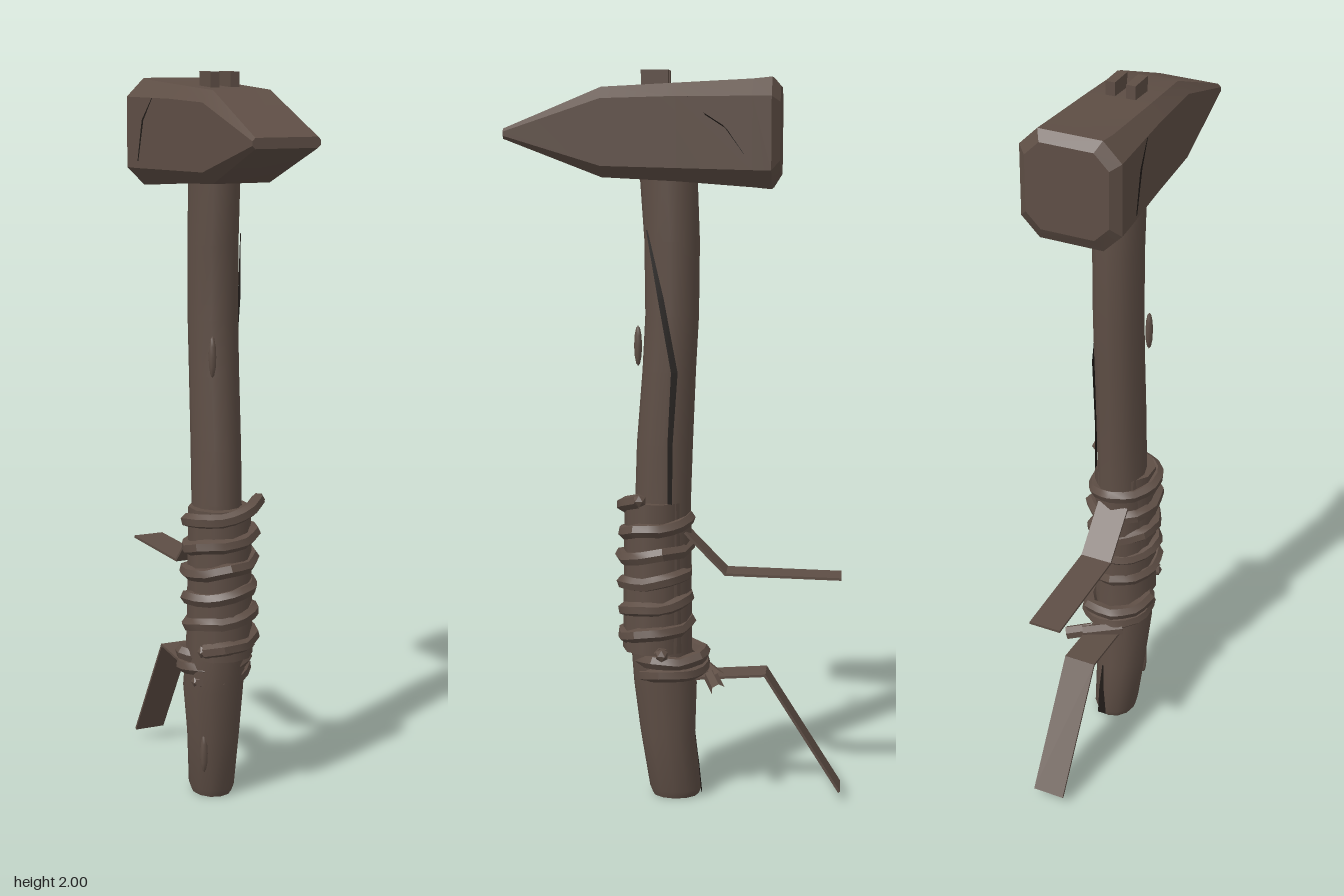
import * as THREE from 'three';
import { toCreasedNormals } from 'three/addons/utils/BufferGeometryUtils.js';

const V = (x, y, z) => new THREE.Vector3(x, y, z);

// Skin equal-length rings of points, counter-clockwise seen from the far end; both ends capped.
function loft(rings, crease) {
  const n = rings[0].length, pos = [], idx = [];
  const mid = r => r.reduce((a, p) => a.add(p), V(0, 0, 0)).divideScalar(n);
  rings.forEach(r => r.forEach(p => pos.push(p.x, p.y, p.z)));
  for (let i = 0; i < rings.length - 1; i++) for (let j = 0; j < n; j++) {
    const a = i * n + j, b = i * n + (j + 1) % n;
    idx.push(a, b, b + n, a, b + n, a + n);
  }
  const last = (rings.length - 1) * n, c0 = rings.length * n;
  for (const r of [rings[0], rings[rings.length - 1]]) pos.push(...mid(r).toArray());
  for (let j = 0; j < n; j++) {
    const k = (j + 1) % n;
    idx.push(c0, k, j, c0 + 1, last + j, last + k);
  }
  const g = new THREE.BufferGeometry();
  g.setAttribute('position', new THREE.Float32BufferAttribute(pos, 3));
  g.setIndex(idx);
  return toCreasedNormals(g, crease);
}

export function createModel() {
  const root = new THREE.Group();
  root.name = 'hammer';
  const brown = new THREE.MeshStandardMaterial({ color: 0x5e4e45 });
  brown.name = 'weathered brown';
  const dark = new THREE.MeshStandardMaterial({ color: 0x1f1a17, side: THREE.DoubleSide });
  dark.name = 'crack black';
  const add = (name, geo, mat = brown) => {
    const m = new THREE.Mesh(geo, mat);
    m.name = name;
    root.add(m);
    return m;
  };

  // Crooked handle: y, centre x, centre z, radius x, radius z
  const handle = [
    [0, 0, 0.01, 0.055, 0.065], [0.02, 0, 0.01, 0.062, 0.073], [0.18, -0.005, 0.033, 0.072, 0.077],
    [0.32, -0.008, 0.04, 0.083, 0.088], [0.42, -0.005, 0.05, 0.083, 0.085], [0.85, 0, 0.045, 0.067, 0.077],
    [1.0, 0, 0.04, 0.067, 0.077], [1.2, 0, 0.028, 0.067, 0.073], [1.35, 0, 0.02, 0.067, 0.073],
    [1.55, 0, 0.02, 0.067, 0.075], [1.74, 0, 0.03, 0.067, 0.078]];
  add('handle', loft(handle.map(([y, cx, cz, rx, rz]) => Array.from({ length: 12 }, (_, i) => {
    const t = i / 12 * Math.PI * 2;
    return V(cx + rx * Math.cos(t), y, cz - rz * Math.sin(t));
  })), 0.8));

  // Head with chamfered sections: z, half width, bottom, top, chamfer
  const head = [
    [-0.272, 0.112, 1.725, 1.955, 0.04], [-0.25, 0.136, 1.69, 1.98, 0.05], [-0.2, 0.133, 1.695, 1.975, 0.045],
    [0, 0.12, 1.71, 1.965, 0.035], [0.2, 0.11, 1.72, 1.955, 0.03], [0.46, 0.093, 1.82, 1.847, 0.008]];
  add('head', loft(head.map(([z, w, b, t, c]) => [
    V(w, b + c, z), V(w, t - c, z), V(w - c, t, z), V(c - w, t, z),
    V(-w, t - c, z), V(-w, b + c, z), V(c - w, b, z), V(w - c, b, z)]), 0.45));

  // Two wedges driven into the top of the head
  for (const x of [-0.029, 0.027]) {
    add('wedge', new THREE.BoxGeometry(0.026, 0.08, 0.072)).position.set(x, 1.96, 0.063);
  }

  // Grip sleeve under the cord
  const sleeve = add('gripSleeve', new THREE.CylinderGeometry(0.086, 0.092, 0.42, 10));
  sleeve.position.set(0, 0.63, 0.066);

  // Cord windings, rising from the front towards the left side
  function cord(name, turns, y0, y1, cx, cz, r, tail) {
    const pts = [], n = Math.round(turns * 9);
    for (let i = 0; i <= n; i++) {
      const t = i / 9 * Math.PI * 2 - 0.9, wob = 0.006 * Math.sin(i * 2.3);
      pts.push(V(cx + (r + wob) * Math.sin(t), y0 + (y1 - y0) * i / n + wob, cz + (r + wob) * Math.cos(t)));
    }
    if (tail) pts.push(tail);
    const path = new THREE.CurvePath();
    for (let i = 1; i < pts.length; i++) path.add(new THREE.LineCurve3(pts[i - 1], pts[i]));
    add(name, loftTube(path, pts.length * 2));
    for (const p of [pts[0], pts[pts.length - 1]]) {
      add('cordEnd', new THREE.IcosahedronGeometry(0.019, 0)).position.copy(p);
    }
  }
  const loftTube = (path, n) => toCreasedNormals(new THREE.TubeGeometry(path, n, 0.02, 6), 0.6);
  cord('gripCord', 5.2, 0.45, 0.83, 0, 0.066, 0.092, V(0.1, 0.855, 0.1));
  cord('lowerCord', 2, 0.35, 0.42, 0, 0.02, 0.09, V(0.1, 0.425, 0.04));
  add('cordStub', loftTube(new THREE.LineCurve3(V(0.03, 0.35, -0.09), V(0.1, 0.33, -0.115)), 1));
  add('cordStub', loftTube(new THREE.LineCurve3(V(-0.05, 0.36, -0.06), V(0.05, 0.35, -0.115)), 1));

  // Loose leather straps: bent ribbons hanging behind
  function strap(name, path) {
    const h = 0.004;
    add(name, loft([-0.047, 0.043].map(x => {
      const upper = path.map(([z, y]) => V(x, y + h, z));
      const lower = path.map(([z, y]) => V(x, y - h, z)).reverse();
      return [...upper, ...lower];
    }), 0.4));
    const caps = root.children[root.children.length - 1];
    caps.geometry.dispose();
    // Each bend is a flat slat, so the ends stay clean
    root.remove(caps);
    for (let i = 1; i < path.length; i++) {
      const [z0, y0] = path[i - 1], [z1, y1] = path[i];
      const len = Math.hypot(z1 - z0, y1 - y0);
      const slat = add(name, new THREE.BoxGeometry(0.09, 0.007, len + 0.003));
      slat.position.set(-0.002, (y0 + y1) / 2, (z0 + z1) / 2);
      slat.rotation.x = -Math.atan2(y1 - y0, z1 - z0);
    }
  }
  strap('upperStrap', [[-0.02, 0.755], [-0.13, 0.642], [-0.445, 0.635]]);
  strap('lowerStrap', [[-0.05, 0.345], [-0.24, 0.358], [-0.448, 0.03]]);

  // Knots in the wood
  for (const [x, y, z] of [[-0.045, 1.26, 0.118], [-0.054, 0.14, 0.082]]) {
    add('knot', new THREE.SphereGeometry(1, 8, 6).scale(0.011, 0.056, 0.011)).position.set(x, y, z);
  }

  // Cracks: jagged strips tapering to points; each row is a point and its half width along z or x
  function crack(name, rows, dir) {
    const pos = [], idx = [];
    rows.forEach(([x, y, z, w], i) => {
      pos.push(x - dir.x * w, y - dir.y * w, z - dir.z * w, x + dir.x * w, y + dir.y * w, z + dir.z * w);
      if (i) idx.push(2 * i - 2, 2 * i - 1, 2 * i + 1, 2 * i - 2, 2 * i + 1, 2 * i);
    });
    const g = new THREE.BufferGeometry();
    g.setAttribute('position', new THREE.Float32BufferAttribute(pos, 3));
    g.setIndex(idx);
    g.computeVertexNormals();
    add(name, g, dark);
  }
  crack('handleCrack', [[0.052, 1.58, 0.083, 0.002], [0.066, 1.4, 0.045, 0.008], [0.069, 1.2, 0.008, 0.009],
    [0.069, 1.0, 0.02, 0.007], [0.07, 0.84, 0.02, 0.006]], V(0, 0, 1));
  crack('headCrackLeft', [[0.124, 1.93, -0.03, 0.002], [0.131, 1.885, -0.075, 0.007], [0.135, 1.85, -0.13, 0.007],
    [0.137, 1.78, -0.18, 0.003]], V(0, 0.7, 0.7));
  crack('headCrackRight', [[-0.128, 1.93, -0.09, 0.002], [-0.135, 1.87, -0.14, 0.006],
    [-0.137, 1.76, -0.17, 0.003]], V(0, 0, 1));
  crack('handleEndCrack', [[0.02, 0.18, -0.045, 0.002], [0.02, 0.1, -0.056, 0.007],
    [0.015, 0.01, -0.064, 0.013]], V(1, 0, 0));

  return root;
}
